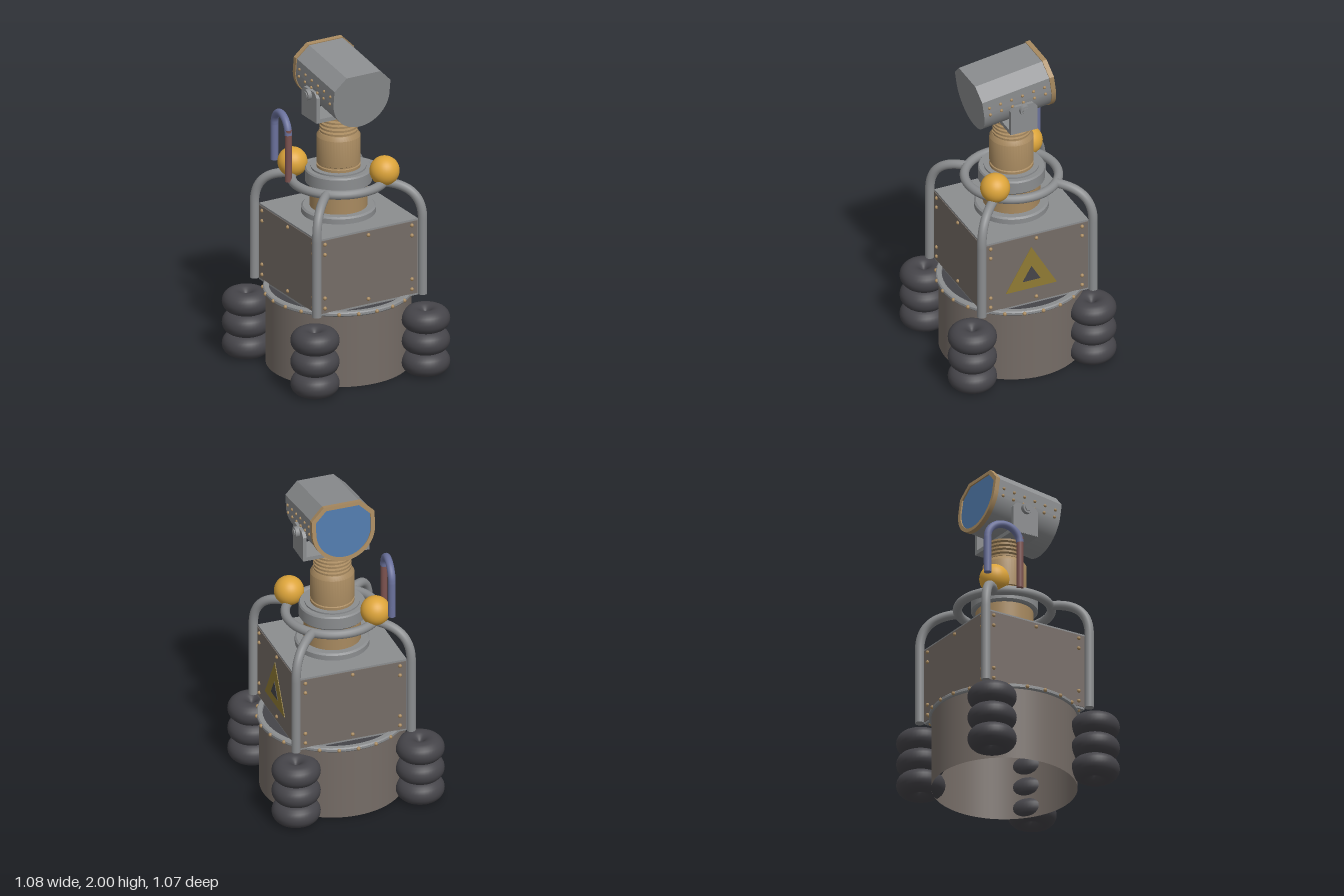
import * as THREE from 'three';
import { toCreasedNormals } from 'three/addons/utils/BufferGeometryUtils.js';

const mat = (name, color, side = THREE.FrontSide) => {
  const m = new THREE.MeshStandardMaterial({ color, side });
  m.name = name;
  return m;
};

export function createModel() {
  const metal = mat('grey metal', 0x8b8d8f);
  const hull = mat('brown hull', 0x756c66, THREE.DoubleSide);
  const brass = mat('brass', 0xa88a60);
  const rubber = mat('dark rubber', 0x454449, THREE.DoubleSide);
  const amber = mat('amber', 0xdca43a);
  const glass = mat('blue glass', 0x4f78a8);
  const bluePaint = mat('blue pipe paint', 0x6a719c);
  const redPaint = mat('red pipe paint', 0x7d5350);
  const olive = mat('warning olive', 0x8f7a34);

  const model = new THREE.Group();
  const body = new THREE.Group();
  body.name = 'body';
  body.position.set(0.03, 0, -0.033);
  model.add(body);

  const add = (parent, name, geo, material, x = 0, y = 0, z = 0) => {
    const m = new THREE.Mesh(geo, material);
    m.name = name;
    m.position.set(x, y, z);
    parent.add(m);
    return m;
  };
  const lathe = (pts, seg = 48) => toCreasedNormals(
    new THREE.LatheGeometry(pts.map(p => new THREE.Vector2(p[0], p[1])), seg), 0.6);
  const V = (x, y, z) => new THREE.Vector3(x, y, z);
  const rivetGeo = new THREE.SphereGeometry(0.012, 10, 8);
  const rivet = (parent, x, y, z) => add(parent, 'rivet', rivetGeo, brass, x, y, z);

  // Open-bottomed drum with deck and riveted flange
  add(body, 'drumWall', new THREE.CylinderGeometry(0.435, 0.435, 0.46, 64, 1, true), hull, 0, 0.232, 0);
  add(body, 'drumDeck', new THREE.CircleGeometry(0.434, 64).rotateX(-Math.PI / 2), rubber, 0, 0.46, 0);
  add(body, 'drumFlange', lathe([[0.415, 0.457], [0.443, 0.457], [0.45, 0.464], [0.45, 0.478],
    [0.443, 0.485], [0.415, 0.485], [0.415, 0.457]], 64), metal);
  for (let i = 0; i < 24; i++) {
    const a = i / 24 * Math.PI * 2;
    rivet(body, Math.sin(a) * 0.45, 0.471, Math.cos(a) * 0.45);
  }

  // Stacked tyres at the four corners
  const tyre = new THREE.TorusGeometry(0.077, 0.07, 20, 40).rotateX(Math.PI / 2);
  for (const [x, z] of [[-0.394, -0.392], [0.392, -0.392], [-0.362, 0.357], [0.383, 0.388]])
    for (const y of [0.072, 0.209, 0.346]) add(model, 'tyre', tyre, rubber, x, y, z);

  // Box housing with metal edges and four riveted panels
  add(body, 'housing', new THREE.BoxGeometry(0.69, 0.49, 0.69), metal, 0, 0.715, 0);
  for (let s = 0; s < 4; s++) {
    const side = new THREE.Group();
    side.name = 'housingSide';
    side.rotation.y = s * Math.PI / 2;
    body.add(side);
    add(side, 'panel', new THREE.BoxGeometry(0.68, 0.465, 0.008), hull, 0, 0.716, 0.345);
    for (const y of [0.925, 0.86, 0.58, 0.515])
      for (const x of [-0.3, 0.3]) rivet(side, x, y, 0.35);
    for (const y of [0.925, 0.515]) rivet(side, 0, y, 0.35);
  }

  // Warning triangle on the left side
  const triangle = (name, half, y0, y1, material, x) => {
    const s = new THREE.Shape([new THREE.Vector2(-half, y0), new THREE.Vector2(half, y0), new THREE.Vector2(0, y1)]);
    const g = new THREE.ExtrudeGeometry(s, { depth: 0.004, bevelEnabled: false }).rotateY(Math.PI / 2);
    add(model, name, g, material, x, 0, 0);
  };
  triangle('warningTriangle', 0.167, 0.583, 0.87, olive, 0.379);
  triangle('warningTriangleCentre', 0.058, 0.64, 0.738, rubber, 0.382);

  // Guard rail: four bent legs meeting a ring
  add(body, 'guardRing', new THREE.TorusGeometry(0.28, 0.028, 14, 64).rotateX(Math.PI / 2), metal, 0, 1.172, 0);
  for (const sx of [-1, 1]) for (const sz of [-1, 1]) {
    add(body, 'guardLeg', new THREE.CylinderGeometry(0.028, 0.028, 0.48, 16), metal, sx * 0.365, 0.72, sz * 0.365);
    const bend = new THREE.CubicBezierCurve3(V(sx * 0.365, 0.96, sz * 0.365), V(sx * 0.365, 1.09, sz * 0.365),
      V(sx * 0.32, 1.172, sz * 0.32), V(sx * 0.2, 1.172, sz * 0.2));
    add(body, 'guardBend', new THREE.TubeGeometry(bend, 20, 0.028, 16), metal);
  }

  // Turret column
  add(body, 'turretBase', lathe([[0, 0.955], [0.223, 0.955], [0.223, 0.992], [0.212, 1.002], [0, 1.002]]), metal);
  add(body, 'lowerColumn', new THREE.CylinderGeometry(0.172, 0.172, 0.17, 48), brass, 0, 1.08, 0);
  add(body, 'turretCollar', lathe([[0, 1.15], [0.19, 1.15], [0.2, 1.16], [0.2, 1.232], [0.193, 1.242], [0.165, 1.242],
    [0.165, 1.252], [0, 1.252]]), metal);
  add(body, 'upperColumn', lathe([[0, 1.25], [0.132, 1.25], [0.132, 1.268], [0.125, 1.272], [0.125, 1.28], [0.132, 1.284],
    [0.132, 1.45], [0.115, 1.475], [0, 1.475]]), brass);
  const bellows = [[0, 1.47]];
  for (let i = 0; i < 5; i++) {
    const y = 1.472 + i * 0.025;
    bellows.push([0.098, y], [0.114, y + 0.006], [0.114, y + 0.018], [0.098, y + 0.025]);
  }
  bellows.push([0, 1.597]);
  add(body, 'bellows', lathe(bellows), brass);

  // Amber lamps beside the column
  for (const s of [-1, 1])
    add(body, 'amberLamp', new THREE.SphereGeometry(0.09, 32, 20), amber, s * 0.2, 1.246, s * 0.2);

  // Hooked pipe: red riser and blue bend
  add(model, 'redRiser', new THREE.CylinderGeometry(0.021, 0.021, 0.33, 16), redPaint, -0.268, 1.345, -0.115);
  const hook = new THREE.CurvePath();
  const ends = [V(-0.268, 1.475, -0.115), V(-0.24, 1.475, -0.325)];
  const arc = [];
  for (let i = 0; i <= 12; i++) {
    const a = i / 12 * Math.PI, p = ends[0].clone().lerp(ends[1], (1 - Math.cos(a)) / 2);
    p.y += Math.sin(a) * 0.1;
    arc.push(p);
  }
  hook.add(new THREE.CatmullRomCurve3(arc));
  hook.add(new THREE.LineCurve3(ends[1], V(-0.24, 1.3, -0.325)));
  add(model, 'bluePipeBend', new THREE.TubeGeometry(hook, 48, 0.023, 16), bluePaint);
  add(model, 'bluePipeEnd', new THREE.CylinderGeometry(0.023, 0.023, 0.07, 16), bluePaint, -0.24, 1.278, -0.325);

  // Yoke holding the head
  add(body, 'yokeBase', new THREE.BoxGeometry(0.42, 0.025, 0.175), metal, 0, 1.607, 0.015);
  const armShape = new THREE.Shape([[-0.0875, 1.597], [0.0875, 1.597], [0.0875, 1.755], [0.06, 1.785],
    [-0.06, 1.785], [-0.0875, 1.755]].map(p => new THREE.Vector2(p[0], p[1])));
  const armGeo = new THREE.ExtrudeGeometry(armShape, { depth: 0.022, bevelEnabled: false })
    .translate(0, 0, -0.011).rotateY(Math.PI / 2);
  for (const s of [-1, 1]) {
    add(body, 'yokeArm', armGeo, metal, s * 0.2, 0, 0.015);
    add(body, 'pivotBolt', new THREE.CylinderGeometry(0.033, 0.033, 0.055, 20).rotateZ(Math.PI / 2),
      metal, s * 0.208, 1.755, 0.015);
    add(body, 'pivotCap', new THREE.CylinderGeometry(0.022, 0.022, 0.01, 6).rotateZ(Math.PI / 2),
      metal, s * 0.237, 1.755, 0.015);
  }

  // Tilted head: chamfered top, round belly
  const head = new THREE.Group();
  head.name = 'head';
  head.position.set(0, 1.79, 0.035);
  head.rotation.x = 0.135;
  body.add(head);
  const outline = (k, Type = THREE.Shape) => {
    const s = new Type();
    s.moveTo(0.193 * k, 0.017 * k);
    s.lineTo(0.193 * k, 0.1 * k);
    s.lineTo(0.115 * k, 0.176 * k);
    s.lineTo(-0.115 * k, 0.176 * k);
    s.lineTo(-0.193 * k, 0.1 * k);
    s.lineTo(-0.193 * k, 0.017 * k);
    s.absarc(0, 0.017 * k, 0.193 * k, Math.PI, Math.PI * 2, false);
    return s;
  };
  const slab = (shape, z0, z1) => toCreasedNormals(new THREE.ExtrudeGeometry(shape,
    { depth: z1 - z0, bevelEnabled: false, curveSegments: 28 }).translate(0, 0, z0), 0.5);
  add(head, 'headShell', slab(outline(1), -0.215, 0.235), metal);
  const rim = outline(1.03);
  rim.holes.push(outline(0.9, THREE.Path));
  add(head, 'lensRim', slab(rim, -0.237, -0.208), brass);
  add(head, 'lens', slab(outline(0.91), -0.228, -0.22), glass);
  const smallRivet = new THREE.SphereGeometry(0.01, 10, 8);
  for (const s of [-1, 1]) for (let i = 0; i < 6; i++) for (const y of [0.048, 0])
    add(head, 'headRivet', smallRivet, brass, s * 0.193, y, 0.195 - i * 0.073);

  return model;
}
